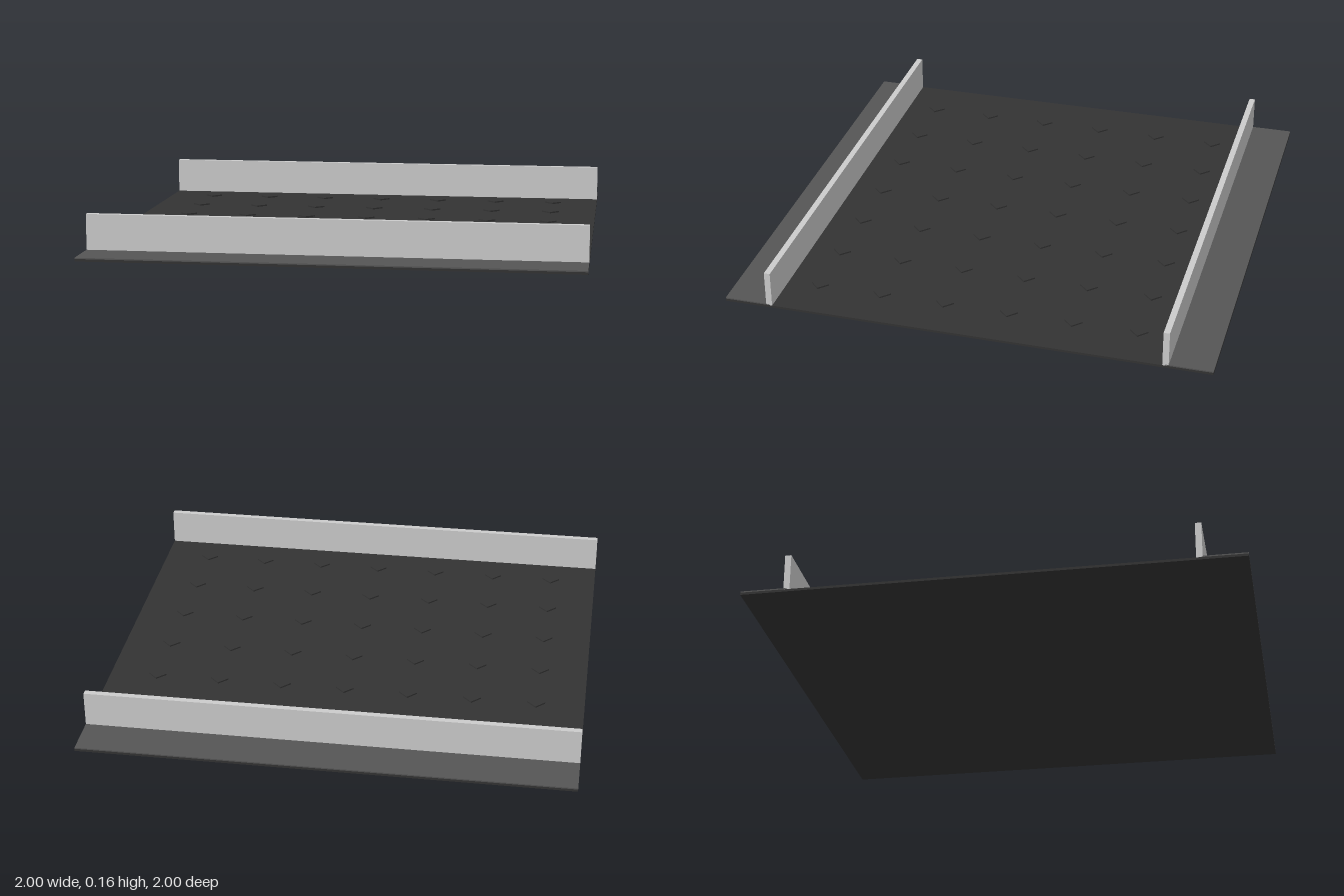
import * as THREE from 'three';

export function createModel() {
  const model = new THREE.Group();
  const dark = new THREE.MeshStandardMaterial({ color: 0x333333 });
  const mid = new THREE.MeshStandardMaterial({ color: 0x555555 });
  const grey = new THREE.MeshStandardMaterial({ color: 0xcccccc });

  // Box given by its size, its underside height and its z centre
  const slab = (name, material, height, depth, bottom, z) => {
    const mesh = new THREE.Mesh(new THREE.BoxGeometry(2, height, depth), material);
    mesh.name = name;
    mesh.position.set(0, bottom + height / 2, z);
    model.add(mesh);
  };

  const deckTop = 0.01;
  slab('deck', dark, deckTop, 2, 0, 0);

  // Edge strip and upright rail on both sides
  for (const [side, s] of [['front', 1], ['back', -1]]) {
    slab(side + 'EdgeStrip', mid, 0.005, 0.188, deckTop, s * 0.906);
    slab(side + 'Rail', grey, 0.15, 0.025, deckTop, s * 0.8125);
  }

  // Grid of low diamond studs
  const studs = new THREE.Group();
  studs.name = 'studs';
  const studGeometry = new THREE.BoxGeometry(0.053, 0.006, 0.053).rotateY(Math.PI / 4);
  const pitch = 0.8 / 3;
  for (let row = 0; row < 6; row++) {
    for (let col = 0; col < 7; col++) {
      const stud = new THREE.Mesh(studGeometry, dark);
      stud.name = 'stud';
      stud.position.set((col - 3) * pitch, deckTop + 0.003, (row - 2.5) * pitch);
      studs.add(stud);
    }
  }
  model.add(studs);
  return model;
}
